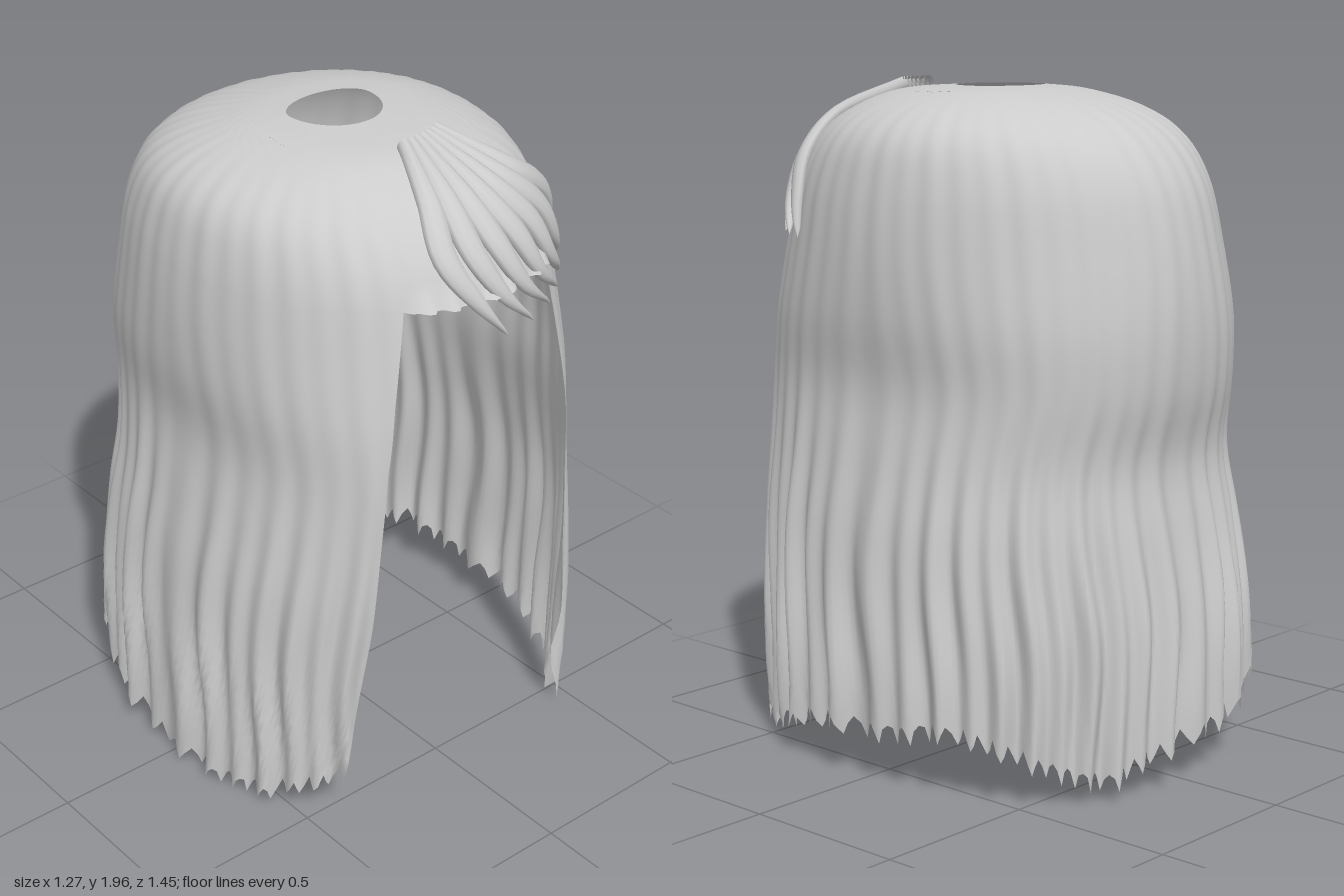
import * as THREE from 'three';

// Profile rows from crown to hem: [half width, height, front depth, back depth]
const ROWS = [
  [0.14, 1.977, 0.15, 0.085], [0.27, 1.962, 0.34, 0.22], [0.41, 1.915, 0.46, 0.39],
  [0.50, 1.84, 0.56, 0.52], [0.54, 1.72, 0.65, 0.61], [0.56, 1.55, 0.70, 0.66],
  [0.56, 1.35, 0.73, 0.685], [0.54, 1.15, 0.75, 0.675], [0.565, 0.95, 0.74, 0.635],
  [0.595, 0.75, 0.73, 0.66], [0.61, 0.5, 0.72, 0.70], [0.615, 0.25, 0.71, 0.71], [0.61, -0.05, 0.7, 0.71],
];
const spline = (f) => new THREE.CatmullRomCurve3(ROWS.map(f), false, 'catmullrom', 0.5);
const frontCurve = spline((r) => new THREE.Vector3(r[0], r[1], r[2]));
const backCurve = spline((r) => new THREE.Vector3(r[3], r[1], 0));

const BROW = 1.66;
const OPENING = [[0, 0.44], [0.2, 0.42], [0.7, 0.365], [0.9, 0.35], [1.2, 0.33], [1.4, 0.3], [BROW, 0.25]];
const HEM = [[0, 0.06], [40, 0.08], [60, 0.12], [90, 0.19], [110, 0.23], [130, 0.17], [155, 0.1],
  [180, 0.17], [200, 0.22], [220, 0.25], [240, 0.16], [270, 0.06], [300, 0.09], [320, 0.19], [360, 0.2]];

// Linear lookup in a short table
function lookup(table, k) {
  if (k <= table[0][0]) return table[0][1];
  for (let i = 1; i < table.length; i++) {
    const [a, va] = table[i - 1], [b, vb] = table[i];
    if (k <= b) return va + ((vb - va) * (k - a)) / (b - a);
  }
  return table[table.length - 1][1];
}

// Profile parameter at a given height
function paramAt(y) {
  let lo = 0, hi = 1;
  for (let i = 0; i < 18; i++) {
    const mid = (lo + hi) / 2;
    if (frontCurve.getPoint(mid).y > y) lo = mid; else hi = mid;
  }
  return lo;
}

// The section squares off a little below the brow
const power = (y) => 2 + 0.4 * THREE.MathUtils.smoothstep(1.6 - y, 0, 0.5);
const angleOf = (x, y, rx) => Math.asin(Math.min(1, Math.pow(Math.abs(x) / rx, power(y) / 2))) * Math.sign(x);

// Point on the hair surface; angle 0 is the front, 90 degrees is +x
function hairPoint(angle, t, wavy = true) {
  const f = frontCurve.getPoint(t), y = f.y, e = 2 / power(y);
  const s = Math.sin(angle), c = Math.cos(angle);
  const depth = c >= 0 ? f.z : backCurve.getPoint(t).x;
  const p = new THREE.Vector3(
    f.x * Math.sign(s) * Math.abs(s) ** e, y, depth * Math.sign(c) * Math.abs(c) ** e);
  if (wavy) {
    const grow = THREE.MathUtils.smoothstep(1.25 - y, 0, 0.9);
    const drift = 0.9 * Math.sin(y * 7 + 3 * s) * grow;
    const wave = Math.sin(44 * angle + drift) * 0.65 + Math.sin(27 * angle + 1 + 1.5 * drift) * 0.35;
    const k = wave * (0.003 * Math.min(1, t * 8) + 0.022 * grow);
    p.x += s * k;
    p.z += c * k;
  }
  return p;
}

// Cap and hanging hair in one sheet, open at the face
function hairSheet() {
  const C = 288, F = 32, cols = C + F, capRows = 20, dropRows = 30;
  const tBrow = paramAt(BROW), pos = [], index = [];
  for (let j = 0; j <= capRows + dropRows; j++) {
    const drop = Math.max(0, j - capRows) / dropRows;
    for (let i = 0; i < cols; i++) {
      const hanging = i <= C;
      let t = (tBrow * Math.min(j, capRows)) / capRows, y = BROW;
      if (hanging && drop > 0) {
        const deg = 40 + (280 * i) / C;
        const tooth = [-0.035, 0.005, 0.035, 0.01][i % 4] * (0.75 + 0.35 * Math.sin(i * 1.7));
        y = BROW + (lookup(HEM, deg) + tooth - BROW) * drop;
        t = paramAt(y);
      }
      const edge = angleOf(lookup(OPENING, y), y, frontCurve.getPoint(t).x);
      const angle = hanging
        ? edge + (2 * Math.PI - 2 * edge) * (i / C)
        : -edge + 2 * edge * ((i - C) / F);
      const p = hairPoint(angle, t);
      // small flared lip over the forehead
      if (!hanging && j === capRows) p.z += 0.02 + 0.012 * Math.sin(i * 1.6);
      pos.push(p.x, p.y, p.z);
    }
  }
  for (let j = 0; j < capRows + dropRows; j++) {
    const n = j < capRows ? cols : C;
    for (let i = 0; i < n; i++) {
      const a = j * cols + i, b = j * cols + ((i + 1) % cols);
      index.push(a, a + cols, b, b, a + cols, b + cols);
    }
  }
  return toGeometry(pos, index);
}

function toGeometry(pos, index) {
  const g = new THREE.BufferGeometry();
  g.setAttribute('position', new THREE.Float32BufferAttribute(pos, 3));
  g.setIndex(index);
  g.computeVertexNormals();
  return g;
}

// Tapered lock laid over the cap along front-plane points [x, y]
function lockGeometry(points) {
  const path = new THREE.CatmullRomCurve3(points.map(([x, y]) => {
    const t = paramAt(y);
    const p = hairPoint(angleOf(x, y, frontCurve.getPoint(t).x), t, false);
    const out = new THREE.Vector3(p.x, (p.y - 1.3) * 0.8, p.z).normalize();
    return p.addScaledVector(out, 0.012);
  }));
  const steps = 20, sides = 10, pos = [], index = [];
  for (let j = 0; j <= steps; j++) {
    const u = j / steps, c = path.getPoint(u), tangent = path.getTangent(u);
    const out = new THREE.Vector3(c.x, (c.y - 1.3) * 0.8, c.z).normalize();
    const side = new THREE.Vector3().crossVectors(out, tangent).normalize();
    out.crossVectors(tangent, side).normalize();
    const taper = Math.sqrt(Math.max(0, 1 - u ** 3));
    const w = (0.016 + 0.024 * Math.sin(Math.PI * Math.min(1, u * 1.1))) * taper + 0.001;
    const h = 0.022 * taper + 0.001;
    for (let i = 0; i < sides; i++) {
      const a = (2 * Math.PI * i) / sides;
      const p = c.clone().addScaledVector(side, w * Math.cos(a)).addScaledVector(out, h * Math.sin(a));
      pos.push(p.x, Math.min(p.y, 2), p.z);
    }
  }
  for (let j = 0; j < steps; j++) for (let i = 0; i < sides; i++) {
    const a = j * sides + i, b = j * sides + ((i + 1) % sides);
    index.push(a, b, a + sides, b, b + sides, a + sides);
  }
  return toGeometry(pos, index);
}

export function createModel() {
  const group = new THREE.Group();
  group.name = 'longHair';
  const material = new THREE.MeshStandardMaterial({ color: 0xcccccc, side: THREE.DoubleSide });
  const add = (name, geometry) => {
    const mesh = new THREE.Mesh(geometry, material);
    mesh.name = name;
    group.add(mesh);
  };
  add('hair', hairSheet());

  // Swept fringe fanning out from the crown
  const tips = [0.02, 0.13, 0.23, 0.31, 0.38, 0.44, 0.485];
  tips.forEach((tip, i) => {
    const k = i / (tips.length - 1);
    add('fringeLock' + (i + 1), lockGeometry([
      [-0.02 + 0.13 * k, 1.965],
      [-0.09 + 0.32 * k, 1.88],
      [-0.12 + 0.50 * k, 1.77],
      [-0.06 + 0.51 * k, 1.65],
      [tip, 1.545],
    ]));
  });
  return group;
}
